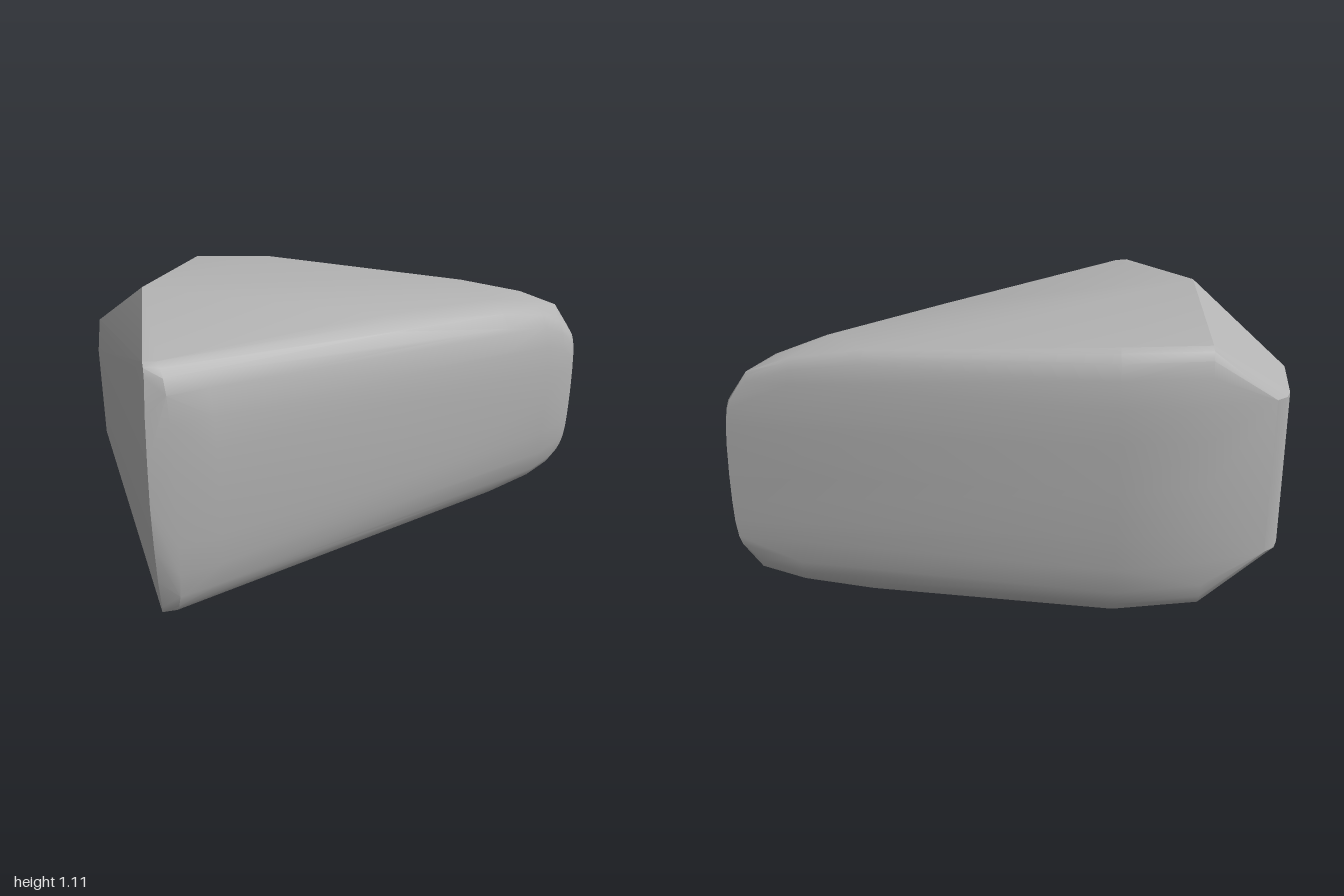
import * as THREE from 'three';
import { ConvexGeometry } from 'three/addons/geometries/ConvexGeometry.js';
import { toCreasedNormals } from 'three/addons/utils/BufferGeometryUtils.js';

const MID = 0.555; // height of the mirror plane

export function createModel() {
  const group = new THREE.Group();
  const grey = new THREE.MeshStandardMaterial({ color: 0xb2b2b2 });
  grey.name = 'stone grey';

  const points = [];
  // A point and its mirror image below the middle plane
  const pair = (x, z, h) => {
    points.push(new THREE.Vector3(x, MID + h, z));
    if (h > 0) points.push(new THREE.Vector3(x, MID - h, z));
  };
  // A bulging vertical rib: [share of half height, share of inset]
  const arc = [[0, 0], [0.35, 0.03], [0.6, 0.1], [0.8, 0.26], [0.91, 0.48], [0.97, 0.74], [1, 1]];
  const rib = (x, z, h, dx, dz) => {
    for (const [a, b] of arc) pair(x + dx * b, z + dz * b, h * a);
  };

  // Long slanted front wall, rounding over into the narrow end
  const front = [
    [-0.38, 0.70, 0.507, 0.09], [-0.25, 0.605, 0.502, 0.13], [0.35, 0.085, 0.478, 0.16],
    [0.74, -0.255, 0.447, 0.16], [0.89, -0.385, 0.41, 0.14], [0.96, -0.45, 0.36, 0.11],
  ];
  for (const [x, z, h, d] of front) rib(x, z, h, -0.65 * d, -0.76 * d);

  // Narrow end
  rib(0.99, -0.49, 0.3, -0.05, -0.04);
  rib(1, -0.545, 0.28, -0.04, 0);
  rib(0.985, -0.605, 0.3, -0.05, 0.01);

  // Back wall
  const back = [
    [0.9, -0.612, 0.37, 0.03], [0.75, -0.63, 0.42, 0.05],
    [0.5, -0.655, 0.45, 0.06], [-0.36, -0.748, 0.485, 0.08], [-0.67, -0.692, 0.48, 0.07],
  ];
  for (const [x, z, h, d] of back) rib(x, z, h, 0, d);

  // Pointed front edge
  for (const [x, z, h] of [[-0.46, 0.748, 0], [-0.461, 0.738, 0.17], [-0.465, 0.715, 0.33],
    [-0.47, 0.68, 0.465], [-0.475, 0.668, 0.495], [-0.485, 0.645, 0.508]]) pair(x, z, h);

  // Peak of the top and bottom, then the flat facets of the wide end
  pair(-0.69, 0.04, 0.555);
  for (const [x, z, h] of [[-0.9, -0.605, 0.285], [-0.94, -0.57, 0.285], [-0.96, -0.52, 0.285],
    [-1, -0.25, 0.295], [-0.98, -0.16, 0.19], [-0.955, -0.11, 0.165]]) pair(x, z, h);

  const body = new THREE.Mesh(toCreasedNormals(new ConvexGeometry(points), 0.4), grey);
  body.name = 'wedgeBody';
  group.add(body);
  return group;
}
